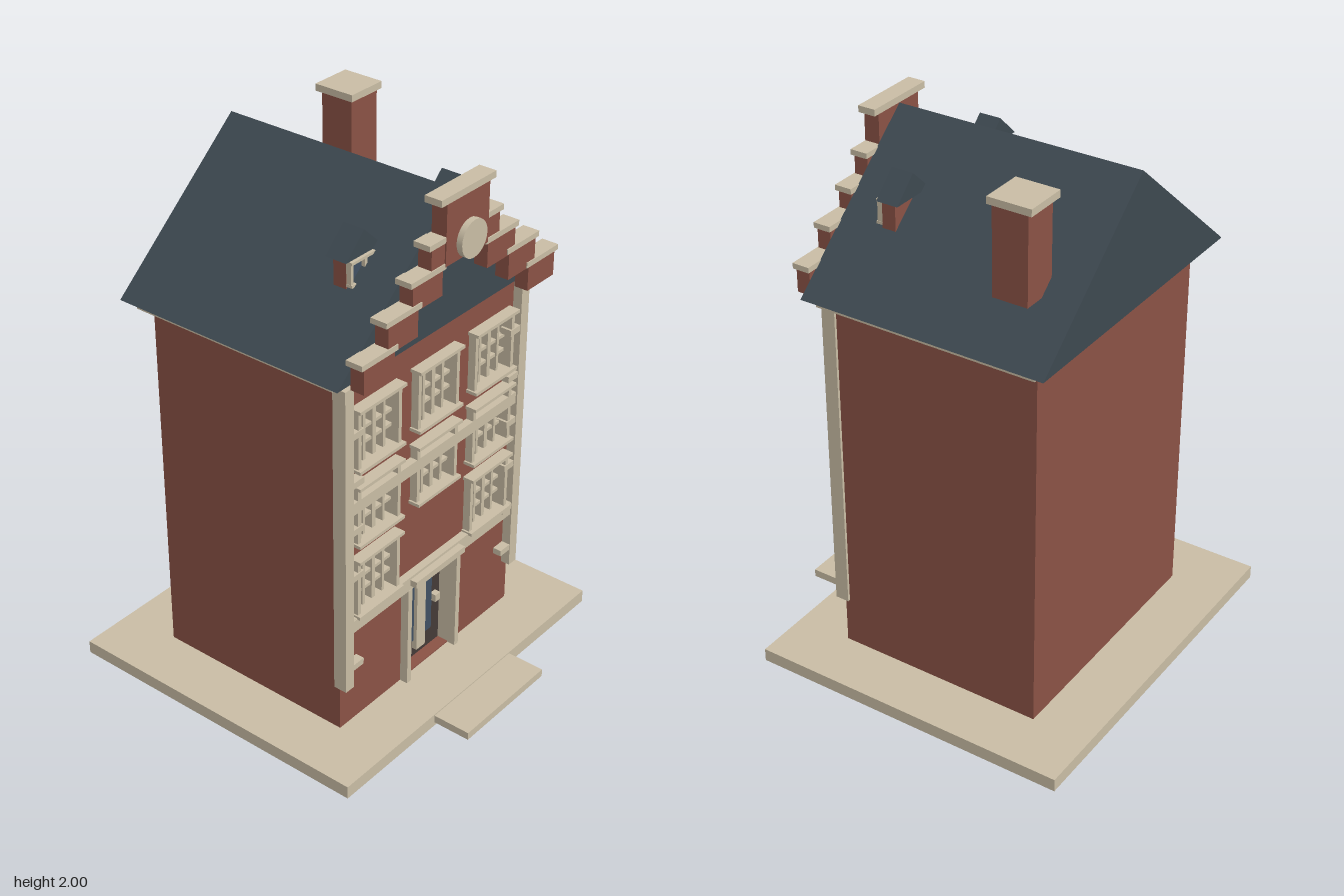
import * as THREE from 'three';

const mat = (name, color) => {
  const m = new THREE.MeshStandardMaterial({ color });
  m.name = name;
  return m;
};

export function createModel() {
  const brick = mat('brick', 0x8a5245);
  const stone = mat('stone', 0xc8bca4);
  const slate = mat('slate', 0x3d4850);
  const wood = mat('doorWood', 0x443a37);
  const glass = mat('glass', 0x405062);
  const model = new THREE.Group();
  model.name = 'townHouse';

  const add = (parent, name, geometry, material) => {
    const mesh = new THREE.Mesh(geometry, material);
    mesh.name = name;
    parent.add(mesh);
    return mesh;
  };
  // Box given by its min and max on each axis
  const box = (parent, name, material, x0, x1, y0, y1, z0, z1) => {
    const mesh = add(parent, name, new THREE.BoxGeometry(x1 - x0, y1 - y0, z1 - z0), material);
    mesh.position.set((x0 + x1) / 2, (y0 + y1) / 2, (z0 + z1) / 2);
    return mesh;
  };
  // Triangular prism with its ridge along z
  const prism = (parent, name, material, cx, half, y0, y1, z0, z1) => {
    const shape = new THREE.Shape([
      new THREE.Vector2(-half, y0), new THREE.Vector2(half, y0), new THREE.Vector2(0, y1)]);
    const geometry = new THREE.ExtrudeGeometry(shape, { depth: z1 - z0, bevelEnabled: false });
    const mesh = add(parent, name, geometry, material);
    mesh.position.set(cx, 0, z0);
    return mesh;
  };
  const rect = (C, x0, x1, y0, y1) => new C([
    new THREE.Vector2(x0, y0), new THREE.Vector2(x1, y0),
    new THREE.Vector2(x1, y1), new THREE.Vector2(x0, y1)]);

  // Ground slab and step
  box(model, 'groundSlab', stone, -0.707, 0.707, 0, 0.05, -0.695, 0.543);
  box(model, 'frontStep', stone, -0.225, 0.225, 0.015, 0.045, 0.5, 0.69);

  // Window positions: [x, y centre]
  const windows = [];
  for (const y of [1.22, 0.925, 0.63]) {
    for (const x of [-0.315, 0, 0.315]) if (y > 0.7 || x !== 0) windows.push([x, y]);
  }

  // Walls, with openings cut through the front
  box(model, 'houseBody', brick, -0.49, 0.49, 0.05, 1.46, -0.472, 0.27);
  const wall = rect(THREE.Shape, -0.49, 0.49, 0.05, 1.46);
  for (const [x, y] of windows) {
    wall.holes.push(rect(THREE.Path, x - 0.105, x + 0.105, y - 0.11, y + 0.11));
  }
  wall.holes.push(rect(THREE.Path, -0.14, 0.14, 0.055, 0.465));
  const wallGeometry = new THREE.ExtrudeGeometry(wall, { depth: 0.06, bevelEnabled: false });
  add(model, 'frontWall', wallGeometry, brick).position.z = 0.27;

  // Windows
  for (const [x, y] of windows) {
    const w = new THREE.Group();
    w.name = 'window';
    w.position.set(x, y, 0);
    model.add(w);
    box(w, 'pane', glass, -0.105, 0.105, -0.11, 0.11, 0.285, 0.293);
    box(w, 'lintel', stone, -0.12, 0.12, 0.108, 0.12, 0.28, 0.375);
    box(w, 'sill', stone, -0.12, 0.12, -0.12, -0.108, 0.28, 0.375);
    for (const s of [-1, 1]) {
      box(w, 'jamb', stone, s * 0.105 - 0.008, s * 0.105 + 0.008, -0.11, 0.11, 0.28, 0.36);
    }
    for (const mx of [-0.052, 0, 0.052]) {
      const half = mx ? 0.006 : 0.009;
      box(w, 'mullion', stone, mx - half, mx + half, -0.11, 0.11, 0.29, 0.335);
    }
    for (const my of [0.012, -0.045]) {
      box(w, 'transom', stone, -0.1, 0.1, my - 0.006, my + 0.006, 0.29, 0.33);
    }
  }

  // Stone bands and cornice
  box(model, 'upperBand', stone, -0.457, 0.457, 0.944, 0.99, 0.32, 0.36);
  box(model, 'lowerBand', stone, -0.457, 0.457, 0.46, 0.515, 0.32, 0.36);
  box(model, 'doorHood', stone, -0.14, 0.14, 0.48, 0.505, 0.33, 0.388);
  box(model, 'cornice', stone, -0.545, 0.545, 1.458, 1.485, -0.496, 0.35);

  // Door
  const door = new THREE.Group();
  door.name = 'door';
  model.add(door);
  box(door, 'doorLeaf', wood, -0.135, 0.135, 0.05, 0.465, 0.27, 0.285);
  box(door, 'doorGlass', glass, -0.078, 0.078, 0.132, 0.382, 0.284, 0.291);
  box(door, 'doorBar', stone, -0.025, 0.025, 0.095, 0.435, 0.285, 0.305);
  box(door, 'doorHandle', stone, 0.077, 0.105, 0.255, 0.285, 0.285, 0.31);

  // Mirrored pilasters, corner blocks and door jambs
  for (const s of [-1, 1]) {
    const pair = (name, m, a, b, ...rest) =>
      box(model, name, m, Math.min(s * a, s * b), Math.max(s * a, s * b), ...rest);
    pair('cornerPilaster', stone, 0.457, 0.5, 0.233, 1.442, 0.313, 0.366);
    for (let i = 0; i < 6; i++) {
      const y = 0.313 + i * 0.1878;
      pair('cornerBlock', stone, 0.402, 0.46, y - 0.012, y + 0.012, 0.32, 0.364);
    }
    pair('doorJamb', stone, 0.13, 0.152, 0.05, 0.462, 0.27, 0.362);

    // Gable steps: inner x, outer x, bottom, top
    for (const [a, b, y0, y1] of [
      [0.36, 0.512, 1.47, 1.562], [0.243, 0.393, 1.56, 1.66], [0.12, 0.272, 1.655, 1.747]]) {
      pair('gableStep', brick, a, b, y0, y1, 0.398, 0.451);
      pair('gableStepCap', stone, a - 0.014, b + 0.014, y1, y1 + 0.02, 0.39, 0.455);
    }

    // Dormer
    const d = new THREE.Group();
    d.name = 'dormer';
    d.position.x = s * 0.255;
    model.add(d);
    box(d, 'dormerBody', brick, -0.075, 0.075, 1.69, 1.795, 0.178, 0.23);
    prism(d, 'dormerRoof', slate, 0, 0.09, 1.79, 1.876, 0.158, 0.242);
    box(d, 'dormerGlass', glass, -0.06, 0.06, 1.705, 1.785, 0.229, 0.236);
    for (const y of [1.7, 1.78]) box(d, 'dormerRail', stone, -0.075, 0.075, y, y + 0.01, 0.23, 0.254);
    for (const x of [-0.068, 0, 0.068]) {
      box(d, 'dormerBar', stone, x - 0.006, x + 0.006, 1.7, 1.79, 0.23, 0.25);
    }
  }

  // Roof and the top of the gable
  prism(model, 'mainRoof', slate, 0, 0.572, 1.485, 1.97, -0.545, 0.393);
  box(model, 'gableShoulder', brick, -0.18, 0.18, 1.752, 1.842, 0.398, 0.451);
  box(model, 'gableShoulderCap', stone, -0.195, 0.195, 1.84, 1.86, 0.39, 0.455);
  box(model, 'gableTop', brick, -0.112, 0.112, 1.755, 1.975, 0.397, 0.456);
  box(model, 'gableTopCap', stone, -0.142, 0.142, 1.973, 1.997, 0.39, 0.457);
  const disc = add(model, 'gableDisc', new THREE.CylinderGeometry(0.067, 0.067, 0.022, 24), stone);
  disc.rotation.x = Math.PI / 2;
  disc.position.set(0, 1.821, 0.473);

  // Chimney
  box(model, 'chimney', brick, 0.32, 0.457, 1.65, 1.976, -0.413, -0.281);
  box(model, 'chimneyCap', stone, 0.307, 0.469, 1.974, 2, -0.432, -0.269);
  return model;
}
